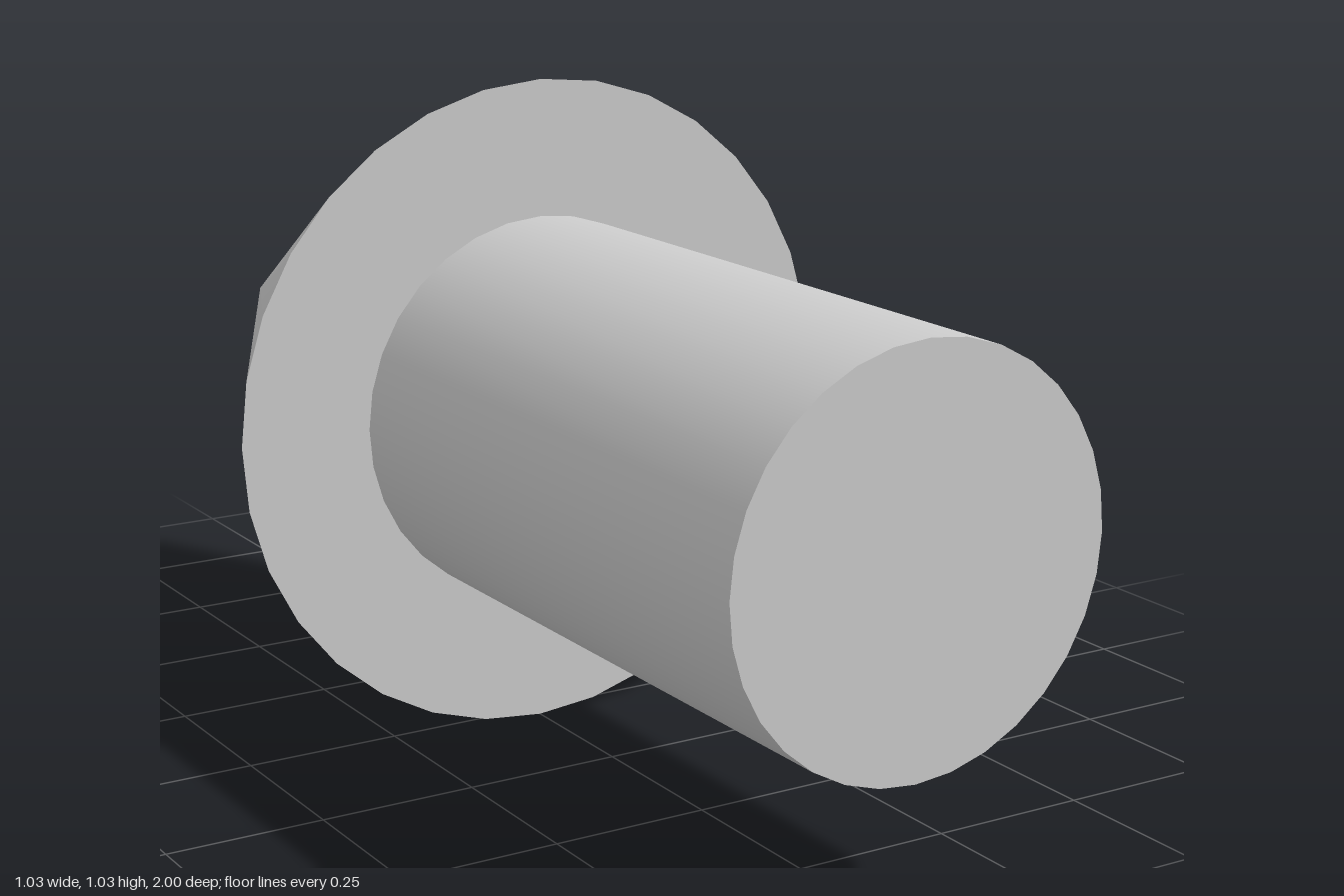
import * as THREE from 'three';

const SIDES = 32;
const HEAD_RADIUS = 0.515;
const SHAFT_RADIUS = 0.302;
const BASE_Z = 0.03; // plane where the head meets the shaft

export function createModel() {
  const group = new THREE.Group();
  group.name = 'arrow';
  const material = new THREE.MeshStandardMaterial({ color: 0xcccccc });

  // Adds a part lying along z, spanning zBack to zFront
  function addPart(name, geometry, zBack, zFront) {
    geometry.rotateX(-Math.PI / 2);
    const mesh = new THREE.Mesh(geometry, material);
    mesh.name = name;
    mesh.position.set(0, HEAD_RADIUS, (zBack + zFront) / 2);
    group.add(mesh);
  }

  // Pointed head, tip towards -z
  addPart('arrowHead', new THREE.ConeGeometry(HEAD_RADIUS, BASE_Z + 1, SIDES), -1, BASE_Z);

  // Round shaft, towards +z
  addPart('shaft', new THREE.CylinderGeometry(SHAFT_RADIUS, SHAFT_RADIUS, 1 - BASE_Z, SIDES), BASE_Z, 1);

  return group;
}
